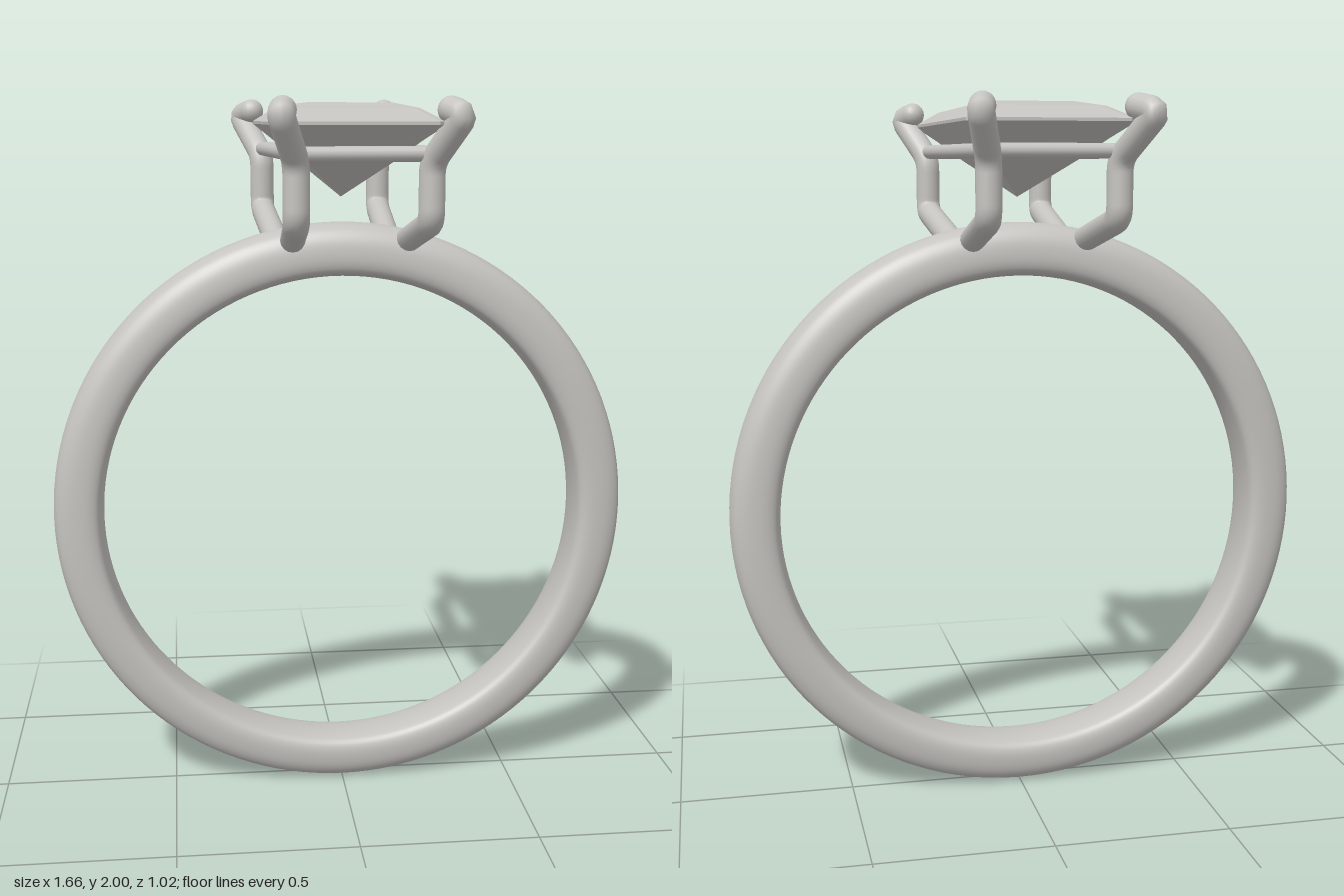
import * as THREE from 'three';

const V = (x, y, z) => new THREE.Vector3(x, y, z);

// Polyline with rounded corners
function bentPath(points, round) {
  const path = new THREE.CurvePath();
  let from = points[0];
  for (let i = 1; i < points.length - 1; i++) {
    const [a, p, b] = [points[i - 1], points[i], points[i + 1]];
    const r = Math.min(round, p.distanceTo(a) * 0.45, p.distanceTo(b) * 0.45);
    const before = p.clone().add(a.clone().sub(p).setLength(r));
    const after = p.clone().add(b.clone().sub(p).setLength(r));
    path.add(new THREE.LineCurve3(from, before));
    path.add(new THREE.QuadraticBezierCurve3(before, p, after));
    from = after;
  }
  path.add(new THREE.LineCurve3(from, points[points.length - 1]));
  return path;
}

// Domed band, slightly narrower and thinner towards the bottom
function bandGeometry() {
  const half = [[0.692, 0.05], [0.702, 0.08], [0.725, 0.091], [0.762, 0.091], [0.793, 0.083], [0.816, 0.066], [0.827, 0.036]];
  const outline = [
    V(0.688, 0, 0),
    ...half.map(([r, h]) => V(r, -h, 0)),
    V(0.83, 0, 0),
    ...half.slice().reverse().map(([r, h]) => V(r, h, 0)),
  ];
  const profile = new THREE.CatmullRomCurve3(outline, true).getPoints(56).map(p => new THREE.Vector2(p.x, p.y));
  const geo = new THREE.LatheGeometry(profile, 128);
  geo.rotateX(Math.PI / 2);
  const pos = geo.attributes.position;
  for (let i = 0; i < pos.count; i++) {
    const x = pos.getX(i), y = pos.getY(i);
    const inward = (0.83 - Math.hypot(x, y)) / 0.142;
    pos.setY(i, y + 0.83 - 0.008 * inward);
    pos.setZ(i, pos.getZ(i) * (0.97 + 0.09 * y));
  }
  return geo;
}

// Step-cut stone from stacked chamfered rectangles: [y, half width, half length]
function stoneGeometry() {
  const layers = [
    [1.73, 0, 0], [1.832, 0.115, 0.25], [1.885, 0.172, 0.345], [1.928, 0.222, 0.443],
    [1.936, 0.222, 0.443], [1.97, 0.17, 0.335], [1.985, 0.113, 0.225], [1.985, 0, 0],
  ];
  const loops = layers.map(([y, w, l]) => {
    const c = w * 0.09, a = w - c, b = l - c;
    return [[w, b], [w, -b], [a, -l], [-a, -l], [-w, -b], [-w, b], [-a, l], [a, l]].map(([x, z]) => V(x, y, z));
  });
  const verts = [];
  const tri = (...pts) => {
    if (new THREE.Triangle(...pts).getArea() > 1e-8) pts.forEach(p => verts.push(p.x, p.y, p.z));
  };
  for (let k = 0; k < loops.length - 1; k++) {
    for (let i = 0; i < 8; i++) {
      const j = (i + 1) % 8, lo = loops[k], hi = loops[k + 1];
      tri(lo[i], lo[j], hi[j]);
      tri(lo[i], hi[j], hi[i]);
    }
  }
  const geo = new THREE.BufferGeometry();
  geo.setAttribute('position', new THREE.Float32BufferAttribute(verts, 3));
  geo.computeVertexNormals();
  return geo;
}

export function createModel() {
  const model = new THREE.Group();
  model.name = 'ring';
  const metal = new THREE.MeshStandardMaterial({ color: 0xc6c4c0 });
  metal.name = 'pale grey metal';

  const add = (parent, name, geo) => {
    const mesh = new THREE.Mesh(geo, metal);
    mesh.name = name;
    parent.add(mesh);
  };

  add(model, 'band', bandGeometry());
  add(model, 'stone', stoneGeometry());

  // Claws: foot on the band, arm outwards, post, splayed claw, hooked tip
  const R = 0.035;
  const claws = [
    { name: 'frontLeftClaw', foot: [0.18, 0.03], post: [0.2, 0.345], elbow: [0.262, 0.452], tip: [0.235, 0.41] },
    { name: 'frontRightClaw', foot: [-0.14, 0.03], post: [-0.155, 0.38], elbow: [-0.2, 0.487], tip: [-0.192, 0.44] },
    { name: 'backRightClaw', foot: [-0.18, -0.03], post: [-0.2, -0.35], elbow: [-0.258, -0.49], tip: [-0.225, -0.425] },
    { name: 'backLeftClaw', foot: [0.14, -0.03], post: [0.155, -0.38], elbow: [0.195, -0.487], tip: [0.182, -0.44] },
  ];
  for (const { name, foot, post, elbow, tip } of claws) {
    const claw = new THREE.Group();
    claw.name = name;
    const at = ([x, z], y) => V(x, y, z);
    const points = [at(foot, 1.605), at(post, 1.68), at(post, 1.835), at(elbow, 1.952), at(tip, 1.965)];
    add(claw, 'clawWire', new THREE.TubeGeometry(bentPath(points, 0.035), 72, R, 16));
    for (const end of [points[0], points[4]]) {
      add(claw, 'roundedEnd', new THREE.SphereGeometry(R, 16, 12).translate(end.x, end.y, end.z));
    }
    model.add(claw);
  }

  // Thin rails joining the four posts under the stone
  claws.forEach(({ post: a }, i) => {
    const b = claws[(i + 1) % 4].post;
    const line = new THREE.LineCurve3(V(a[0], 1.855, a[1]), V(b[0], 1.855, b[1]));
    add(model, 'rail', new THREE.TubeGeometry(line, 1, 0.02, 12));
  });

  return model;
}
